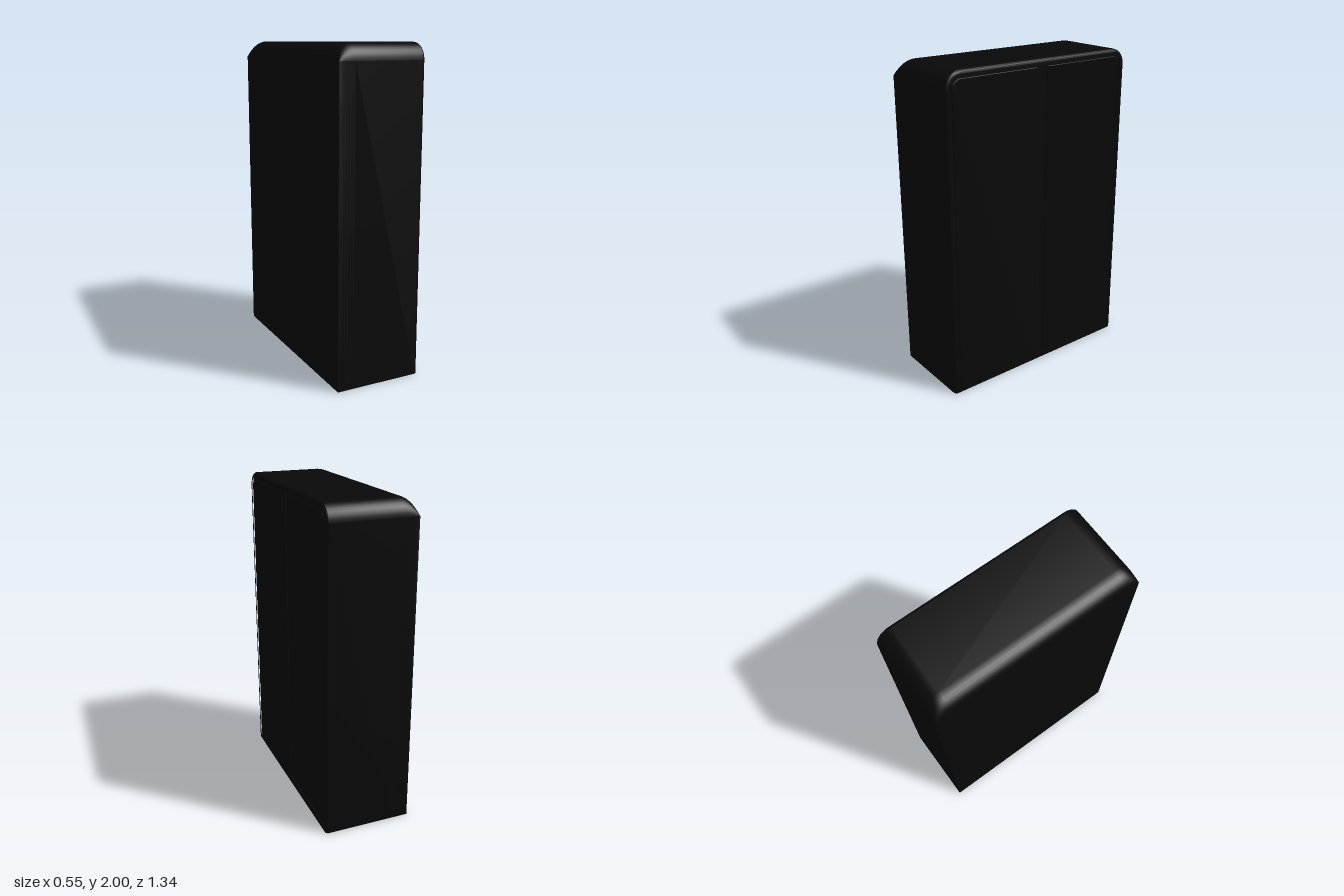
import * as THREE from 'three';
import { toCreasedNormals } from 'three/addons/utils/BufferGeometryUtils.js';

const W = 0.67, X = 0.275, SHOULDER = 1.9, R = 0.1, EDGE = 0.02, STEPS = 8;

// Upright outline with two rounded top corners, as [u, y] points (u = -z)
function outline(inset, rise) {
  const w = W - inset, r = R - inset, pts = [[-w, 0]];
  for (const side of [-1, 1]) {
    for (let i = 0; i <= STEPS; i++) {
      const a = (side < 0 ? i : STEPS - i) / STEPS * Math.PI / 2;
      pts.push([side * (w - r + r * Math.cos(a)), SHOULDER + r * Math.sin(a) * rise]);
    }
  }
  pts.push([w, 0]);
  return pts;
}

// Closed shell lofted from back to front
function shellGeometry() {
  const rings = [];
  for (let i = 0; i <= STEPS; i++) {
    const t = i / STEPS * Math.PI / 2;
    rings.push({ x: -X + R * (1 - Math.cos(t)), pts: outline(0, Math.sin(t)) });
  }
  for (let i = 0; i <= STEPS; i++) {
    const t = i / STEPS * Math.PI / 2;
    rings.push({ x: X - EDGE + EDGE * Math.sin(t), pts: outline(EDGE * (1 - Math.cos(t)), 1) });
  }
  const n = rings[0].pts.length, pos = [], idx = [];
  for (const { x, pts } of rings) for (const [u, y] of pts) pos.push(x, y, -u);
  for (let i = 0; i < rings.length - 1; i++) {
    for (let j = 0; j < n; j++) {
      const a = i * n + j, b = i * n + (j + 1) % n;
      idx.push(a, a + n, b, a + n, b + n, b);
    }
  }
  const g = new THREE.BufferGeometry();
  g.setAttribute('position', new THREE.Float32BufferAttribute(pos, 3));
  g.setIndex(idx);
  return toCreasedNormals(g, 0.6);
}

// Door outline: the outer top corner follows the cabinet's rounding
function doorPath(PathType, side, gap) {
  const a = 0.03 + gap, b = 0.635 - gap, low = 0.04 + gap, top = 1.965 - gap, r = 0.065 - gap;
  const p = new PathType();
  p.moveTo(side * a, low);
  p.lineTo(side * b, low);
  p.lineTo(side * b, top - r);
  p.quadraticCurveTo(side * b, top - r * 0.4, side * (b - r * 0.3), top - r * 0.3);
  p.quadraticCurveTo(side * (b - r * 0.6), top, side * (b - r), top);
  p.lineTo(side * a, top);
  p.closePath();
  return p;
}

export function createModel() {
  const group = new THREE.Group();
  const black = new THREE.MeshStandardMaterial({ color: 0x080808 });
  black.name = 'black';

  const add = (name, geometry, x = 0, turn = 0) => {
    const mesh = new THREE.Mesh(geometry, black);
    mesh.name = name;
    mesh.position.x = x;
    mesh.rotation.y = turn;
    group.add(mesh);
    return mesh;
  };
  const FRONT = Math.PI / 2;
  const frontShape = () => new THREE.Shape(outline(EDGE, 1).map(([u, y]) => new THREE.Vector2(u, y)));

  // Cabinet shell and flat back
  add('cabinetShell', shellGeometry());
  add('backPanel', new THREE.PlaneGeometry(2 * W, SHOULDER), -X, -FRONT).position.y = SHOULDER / 2;

  // Front frame with two door openings, and the floor of the grooves
  const frame = frontShape();
  for (const side of [-1, 1]) frame.holes.push(doorPath(THREE.Path, side, 0));
  add('frontFrame', new THREE.ExtrudeGeometry(frame, { depth: 0.012, bevelEnabled: false }), X - 0.012, FRONT);
  add('grooveFloor', new THREE.ShapeGeometry(frontShape()), X - 0.011, FRONT);

  // Pair of doors set inside the grooves
  for (const [name, side] of [['leftDoor', -1], ['rightDoor', 1]]) {
    const door = new THREE.ExtrudeGeometry(doorPath(THREE.Shape, side, 0.014), {
      depth: 0.007, bevelThickness: 0.004, bevelSize: 0.004, bevelSegments: 2,
    });
    add(name, door, X - 0.012, FRONT);
  }
  return group;
}
